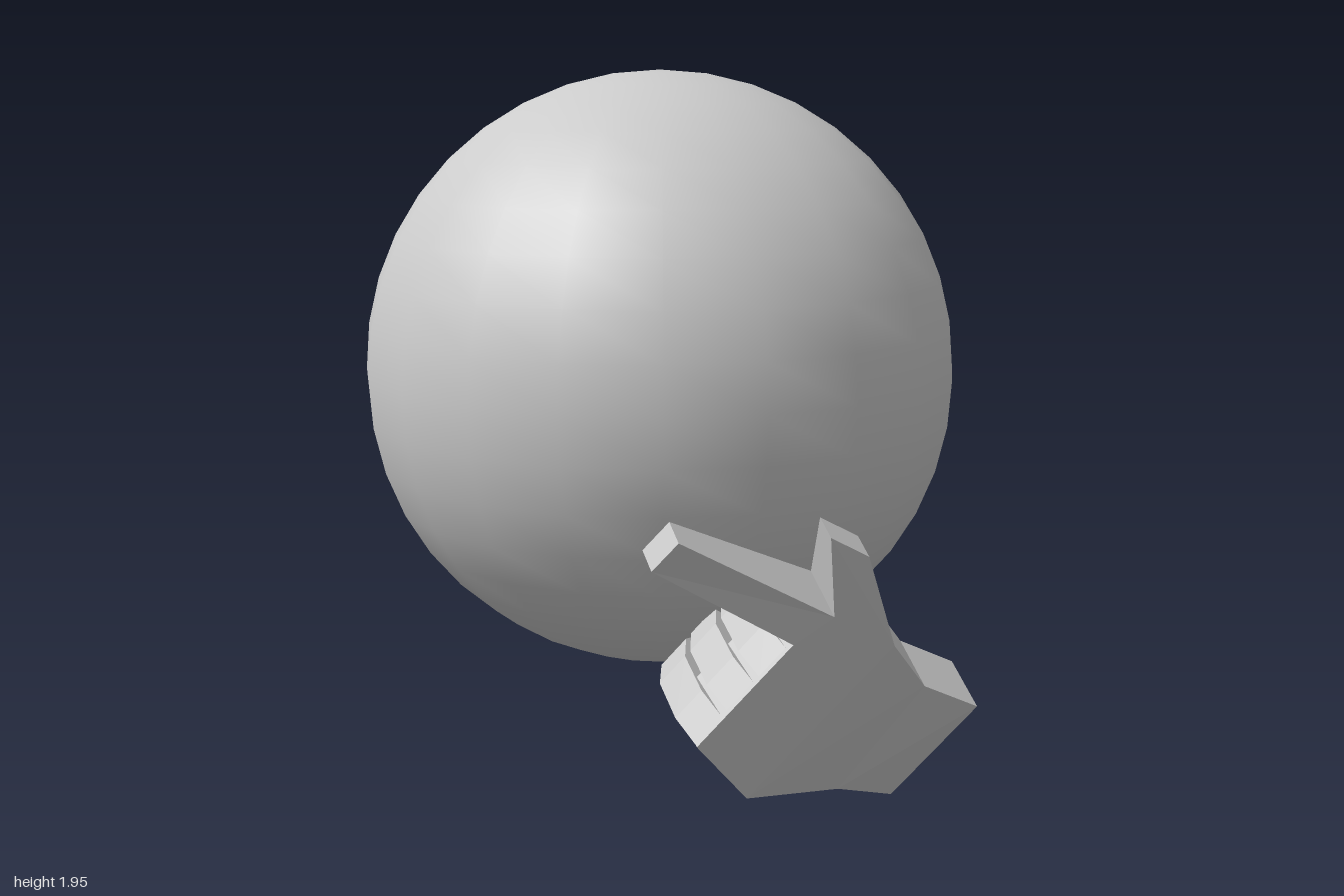
import * as THREE from 'three';

const grey = new THREE.MeshStandardMaterial({ color: 0xcccccc });
const flatGrey = new THREE.MeshStandardMaterial({ color: 0xcccccc, flatShading: true });

// Outline of the back of the hand, counterclockwise: [x, y, z, thickness factor]
const OUTLINE = [
  [0.6, 0.28, 0.71, 1], // wrist, upper corner
  [0.42, 0.37, 0.757, 1],
  [0.285, 0.52, 0.852, 1], // thumb root
  [0.165, 0.785, 0.95, 0.45], // thumb tip
  [0.05, 0.848, 0.98, 0.45],
  [0.1, 0.624, 0.894, 1], // between thumb and index finger
  [-0.34, 0.87, 0.995, 0.45], // index finger tip
  [-0.39, 0.794, 0.945, 0.45],
  [0, 0.557, 0.874, 1], // knuckle edge
  [-0.22, 0.29, 0.787, 1],
  [-0.06, 0.11, 0.72, 1],
  [0.23, 0.07, 0.64, 1],
  [0.42, 0.005, 0.57, 1], // wrist, lower corner
];

// Thick folded slab: outer panels, matching inner panels and a rim
function slabGeometry(outline, panels) {
  const outer = outline.map(([x, y, z]) => [x, y, z]);
  const inner = outline.map(([x, y, z, t]) => [x, y + 0.08 * t, z - 0.15 * t]);
  const pos = [];
  const tri = (a, b, c) => pos.push(...a, ...b, ...c);
  for (const p of panels) {
    for (let i = 1; i < p.length - 1; i++) {
      tri(outer[p[0]], outer[p[i]], outer[p[i + 1]]);
      tri(inner[p[0]], inner[p[i + 1]], inner[p[i]]);
    }
  }
  for (let i = 0; i < outline.length; i++) {
    const j = (i + 1) % outline.length;
    tri(outer[i], inner[i], inner[j]);
    tri(outer[i], inner[j], outer[j]);
  }
  const g = new THREE.BufferGeometry();
  g.setAttribute('position', new THREE.Float32BufferAttribute(pos, 3));
  g.computeVertexNormals();
  return g;
}

// Hooked finger profile: x = forward of the knuckles, y = depth towards the palm side
const HOOK = [
  [-0.1, 0.01], [0, 0.01], [0.03, 0.1], [0.01, 0.26], [-0.06, 0.39], [-0.14, 0.46],
  [-0.24, 0.475], [-0.306, 0.406], [-0.35, 0.24], [-0.27, 0.23], [-0.24, 0.34],
  [-0.17, 0.36], [-0.11, 0.28], [-0.1, 0.15],
];

export function createModel() {
  const model = new THREE.Group();

  const ball = new THREE.Mesh(new THREE.SphereGeometry(0.85, 20, 20), grey);
  ball.name = 'ball';
  ball.position.set(0, 1.1, -0.15);
  model.add(ball);

  const hand = new THREE.Group();
  hand.name = 'pointingHand';
  model.add(hand);

  // Wrist, palm, thumb, knuckles and index finger
  const panels = [[0, 1, 11, 12], [1, 2, 10, 11], [2, 3, 4, 5], [2, 5, 8, 9, 10], [5, 6, 7, 8]];
  const palm = new THREE.Mesh(slabGeometry(OUTLINE, panels), flatGrey);
  palm.name = 'palmThumbAndIndexFinger';
  hand.add(palm);

  // Three curled fingers side by side along the knuckle edge
  const start = new THREE.Vector3(...OUTLINE[8].slice(0, 3));
  const end = new THREE.Vector3(...OUTLINE[9].slice(0, 3));
  const across = end.clone().sub(start);
  const pitch = across.length() / 3;
  across.normalize();
  const depth = new THREE.Vector3(-0.03, 0.33, -0.944);
  const forward = depth.clone().cross(across).normalize();
  depth.crossVectors(across, forward);
  const shape = new THREE.Shape(HOOK.map(([x, y]) => new THREE.Vector2(x, y)));
  const gap = 0.02;
  const hook = new THREE.ExtrudeGeometry(shape, { depth: pitch - gap, bevelEnabled: false });
  hook.applyMatrix4(new THREE.Matrix4().makeBasis(forward, depth, across));
  ['middleFinger', 'ringFinger', 'littleFinger'].forEach((name, i) => {
    const finger = new THREE.Mesh(hook, flatGrey);
    finger.name = name;
    finger.position.copy(start).addScaledVector(across, i * pitch + gap);
    hand.add(finger);
  });

  return model;
}
